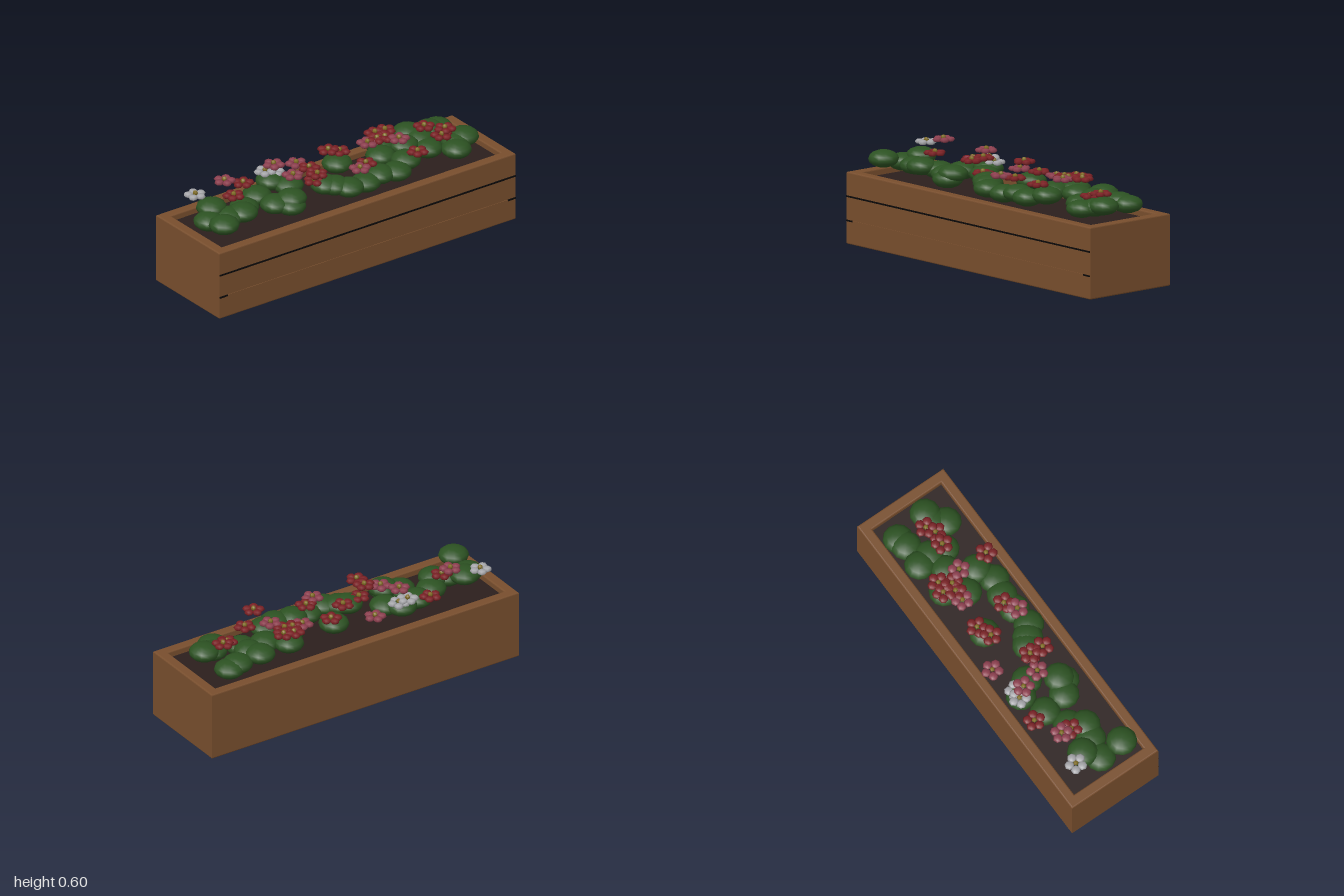
import * as THREE from 'three';

const mat = (name, color) => {
  const m = new THREE.MeshStandardMaterial({ color });
  m.name = name;
  return m;
};

export function createModel() {
  const model = new THREE.Group();
  model.name = 'flowerBox';
  const wood = mat('wood', 0x784e2d);
  const soilMat = mat('soil', 0x2b1f1d);
  const black = mat('grooveBlack', 0x0a0808);
  const pipeMat = mat('pipe', 0x262224);
  const leafMat = mat('leaf', 0x2c5222);
  const yellow = mat('flowerCentre', 0x806c22);
  const petals = {
    r: mat('redPetal', 0x7a2024),
    p: mat('pinkPetal', 0x8c3e4e),
    w: mat('whitePetal', 0xa6a6aa),
  };

  const add = (parent, name, geometry, material, x = 0, y = 0, z = 0) => {
    const mesh = new THREE.Mesh(geometry, material);
    mesh.name = name;
    mesh.position.set(x, y, z);
    parent.add(mesh);
    return mesh;
  };

  // Four walls as one bevelled frame, open above and below
  const rectangle = (target, w, d) => {
    target.moveTo(-w / 2, -d / 2);
    target.lineTo(w / 2, -d / 2);
    target.lineTo(w / 2, d / 2);
    target.lineTo(-w / 2, d / 2);
    target.closePath();
    return target;
  };
  const bevel = 0.008;
  const frame = rectangle(new THREE.Shape(), 2, 0.574);
  frame.holes.push(rectangle(new THREE.Path(), 1.88, 0.46));
  const walls = new THREE.ExtrudeGeometry(frame, {
    depth: 0.4 - 2 * bevel, bevelEnabled: true, bevelSize: bevel,
    bevelThickness: bevel, bevelOffset: -bevel, bevelSegments: 3,
  });
  walls.rotateX(-Math.PI / 2);
  add(model, 'boxWalls', walls, wood, 0, bevel, -0.003);

  // Soil slab
  add(model, 'soil', new THREE.BoxGeometry(1.88, 0.08, 0.46), soilMat, 0, 0.325, -0.003);

  // Plank lines on the front
  add(model, 'upperGroove', new THREE.BoxGeometry(1.996, 0.008, 0.007), black, 0, 0.265, 0.286);
  add(model, 'lowerStrip', new THREE.BoxGeometry(1.89, 0.008, 0.006), wood, 0, 0.131, 0.285);
  for (const s of [-1, 1]) {
    add(model, 'lowerGrooveEnd', new THREE.BoxGeometry(0.053, 0.008, 0.007), black, s * 0.9715, 0.131, 0.286);
  }

  // Drain pipe hanging under the soil
  const drain = new THREE.CatmullRomCurve3([
    [0.02, 0.29, 0.19], [0.015, 0.22, 0.195], [0.01, 0.15, 0.197], [-0.005, 0.1, 0.197],
  ].map((p) => new THREE.Vector3(...p)));
  add(model, 'drainPipe', new THREE.TubeGeometry(drain, 12, 0.03, 8), pipeMat);
  add(model, 'drainPipeEnd', new THREE.SphereGeometry(0.03, 8, 6), pipeMat, -0.005, 0.1, 0.197);

  // Leaf clumps: x, y, z
  const leafGeo = new THREE.SphereGeometry(0.085, 12, 8).scale(1, 0.57, 1);
  const leaves = [
    [-0.86, 0.475, 0.14], [-0.86, 0.44, 0], [-0.79, 0.475, -0.07], [-0.66, 0.45, 0.04],
    [-0.6, 0.43, -0.03], [-0.74, 0.44, 0.02], [-0.47, 0.44, -0.09], [-0.45, 0.44, 0.05],
    [-0.36, 0.46, 0.08], [-0.33, 0.465, -0.15], [-0.27, 0.45, -0.07], [-0.11, 0.455, 0.05],
    [-0.07, 0.45, 0.08], [-0.01, 0.44, 0.13], [0.08, 0.465, -0.1], [0.11, 0.43, 0.12],
    [0.21, 0.445, 0.11], [0.31, 0.44, 0.13], [0.33, 0.46, -0.04], [0.41, 0.46, 0.08],
    [0.4, 0.465, -0.14], [0.5, 0.465, -0.06], [0.6, 0.47, -0.16], [0.62, 0.46, -0.08],
    [0.74, 0.45, -0.15], [0.8, 0.44, -0.16], [0.73, 0.44, 0.11], [0.77, 0.445, 0.05],
    [0.83, 0.46, 0.04], [0.61, 0.44, 0.01], [-0.38, 0.43, 0.1],
  ];
  const foliage = new THREE.Group();
  foliage.name = 'foliage';
  model.add(foliage);
  leaves.forEach(([x, y, z], i) => {
    add(foliage, 'leafClump', leafGeo, leafMat, x, y, z).rotation.y = i * 1.3;
  });

  // Flowers: colour, x, y, z
  const flowers = [
    ['w', -0.84, 0.532, -0.15], ['p', -0.665, 0.577, -0.12], ['r', -0.655, 0.512, -0.05],
    ['r', -0.495, 0.487, -0.18], ['w', -0.35, 0.515, -0.175], ['w', -0.3, 0.5, -0.165],
    ['p', -0.325, 0.568, -0.13], ['p', -0.285, 0.54, -0.01], ['r', -0.19, 0.565, 0.01],
    ['r', -0.195, 0.56, 0.09], ['r', -0.17, 0.487, 0.03], ['p', -0.125, 0.487, -0.195],
    ['r', 0.02, 0.562, -0.1], ['r', 0.115, 0.517, -0.125], ['p', 0.075, 0.522, 0.115],
    ['r', 0.145, 0.515, 0.075], ['p', 0.285, 0.525, -0.1], ['r', 0.35, 0.53, -0.1],
    ['r', 0.38, 0.532, -0.16], ['r', 0.395, 0.53, -0.09], ['r', 0.44, 0.535, -0.15],
    ['p', 0.435, 0.54, -0.015], ['r', 0.43, 0.535, 0.16], ['r', 0.6, 0.567, -0.01],
    ['r', 0.745, 0.508, -0.015], ['r', 0.7, 0.492, 0.015],
  ];
  const petalGeo = new THREE.SphereGeometry(0.027, 7, 4).scale(1, 0.55, 1);
  const centreGeo = new THREE.SphereGeometry(0.015, 5, 4);
  flowers.forEach(([colour, x, y, z], i) => {
    const flower = new THREE.Group();
    flower.name = 'flower';
    flower.position.set(x, y, z);
    flower.rotation.y = i * 0.7;
    model.add(flower);
    for (let k = 0; k < 5; k++) {
      const a = (k / 5) * Math.PI * 2;
      const petal = add(flower, 'petal', petalGeo, petals[colour], Math.cos(a) * 0.037, 0, Math.sin(a) * 0.037);
      petal.rotation.y = -a;
    }
    add(flower, 'flowerCentre', centreGeo, yellow, 0, 0.01, 0);
  });
  return model;
}
